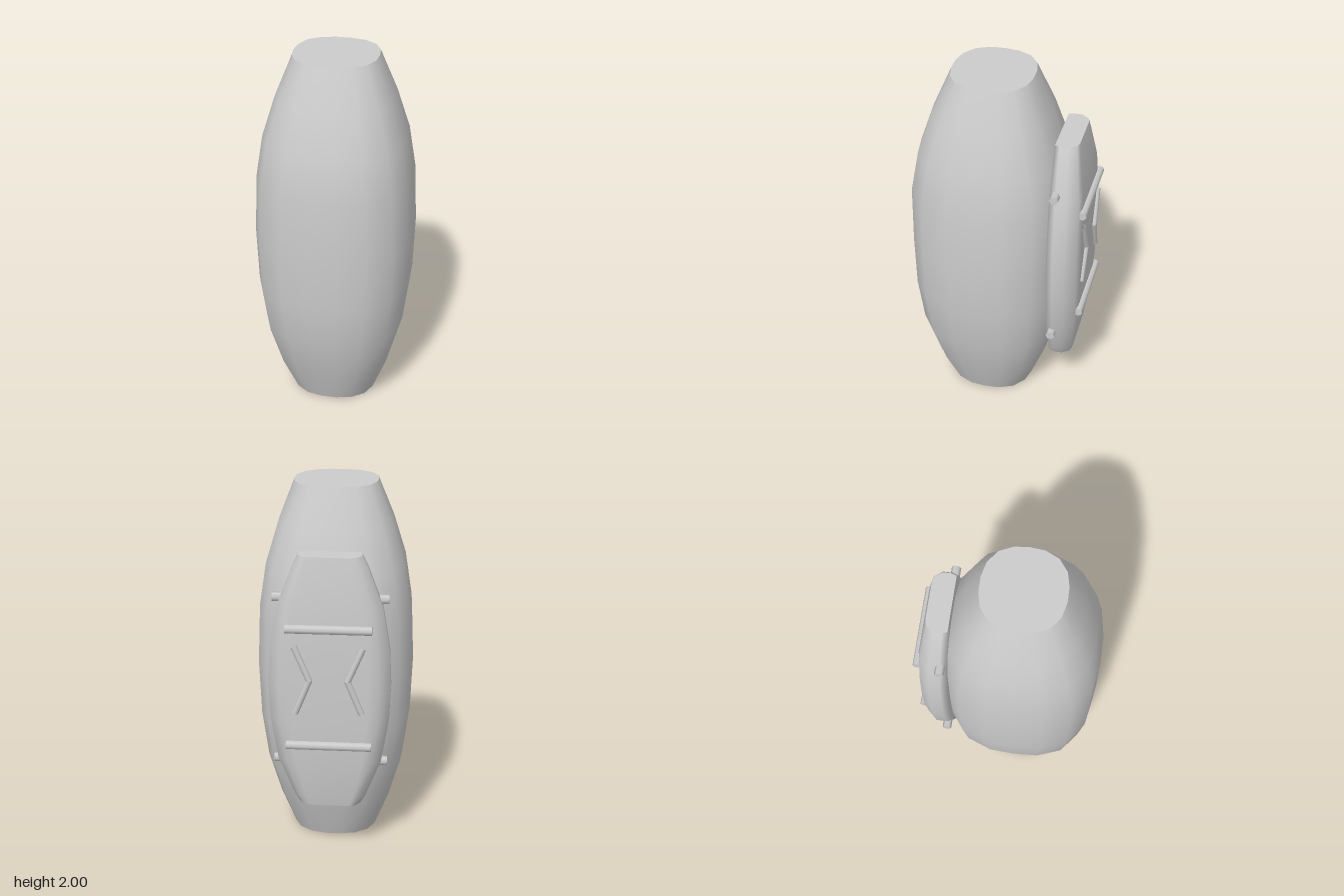
import * as THREE from 'three';

const material = new THREE.MeshStandardMaterial({ color: 0xcccccc, side: THREE.DoubleSide });

function addMesh(parent, name, geometry, position = [0, 0, 0]) {
  const mesh = new THREE.Mesh(geometry, material);
  mesh.name = name;
  mesh.position.set(...position);
  parent.add(mesh);
  return mesh;
}

// Skins a stack of closed rings (bottom to top) with smooth sides and flat end caps.
// Ring points run from +x towards +z.
function loft(rings) {
  const n = rings[0].length;
  const points = [], index = [];
  rings.forEach((ring) => ring.forEach((p) => points.push(...p)));
  for (let r = 0; r < rings.length - 1; r++) {
    for (let i = 0; i < n; i++) {
      const a = r * n + i, b = r * n + (i + 1) % n;
      index.push(a, a + n, b, b, a + n, b + n);
    }
  }
  for (const ring of [rings[0], rings[rings.length - 1]]) {
    const start = points.length / 3;
    ring.forEach((p) => points.push(...p));
    for (let i = 1; i < n - 1; i++) {
      if (ring === rings[0]) index.push(start, start + i, start + i + 1);
      else index.push(start, start + i + 1, start + i);
    }
  }
  const geometry = new THREE.BufferGeometry();
  geometry.setAttribute('position', new THREE.Float32BufferAttribute(points, 3));
  geometry.setIndex(index);
  geometry.computeVertexNormals();
  return geometry;
}

// Ring of a rounded square (superellipse)
function roundedRing(y, halfX, halfZ, centreZ, power, sides = 18) {
  const ring = [];
  for (let i = 0; i < sides; i++) {
    const a = (i / sides) * Math.PI * 2;
    const c = Math.cos(a), s = Math.sin(a);
    const k = Math.pow(Math.abs(c) ** power + Math.abs(s) ** power, -1 / power);
    ring.push([c * k * halfX, y, centreZ + s * k * halfZ]);
  }
  return ring;
}

// Ring of the back panel: flat towards the body, bevelled towards the back
function panelRing([y, halfX, backZ]) {
  const front = -0.295, depth = backZ - front;
  const half = [[1, 0.6], [1, 0.22], [0.94, 0], [0.4, 0]];
  const back = [[0.64, 1], [0.82, 0.93]];
  const place = ([x, t]) => [x * halfX, y, front + t * depth];
  const flip = ([x, t]) => [-x, t];
  return [...half, ...half.map(flip).reverse(), ...back.map(flip).reverse(), ...back].map(place);
}

export function createModel() {
  const model = new THREE.Group();
  model.name = 'barrelWithBackPanel';

  // Barrel body: height, half width, half depth, centre z
  const bodyLevels = [
    [0, 0.235, 0.235, 0.07], [0.2, 0.31, 0.31, 0.07], [0.44, 0.378, 0.383, 0.07],
    [0.7, 0.413, 0.414, 0.07], [1, 0.425, 0.42, 0.07], [1.33, 0.412, 0.42, 0.07],
    [1.56, 0.377, 0.38, 0.07], [1.78, 0.31, 0.307, 0.07], [2, 0.225, 0.217, 0.067],
  ];
  addMesh(model, 'body', loft(bodyLevels.map(([y, w, d, z], i) =>
    roundedRing(y, w, d, z, i === 0 || i === bodyLevels.length - 1 ? 2.5 : 2.85))));

  // Back panel: height, half width, back z
  const panelLevels = [
    [0.305, 0.165, -0.415], [0.36, 0.195, -0.425], [0.57, 0.275, -0.455], [0.8, 0.313, -0.463],
    [1, 0.322, -0.464], [1.2, 0.313, -0.463], [1.43, 0.275, -0.455], [1.64, 0.195, -0.425],
    [1.7, 0.165, -0.415],
  ];
  const panel = new THREE.Group();
  panel.name = 'panel';
  model.add(panel);
  addMesh(panel, 'panelShell', loft(panelLevels.map(panelRing)));

  // Cross bars
  for (const y of [0.68, 1.33]) {
    addMesh(panel, 'crossBar', new THREE.CylinderGeometry(0.024, 0.024, 0.45, 8), [0, y, -0.463])
      .rotation.z = Math.PI / 2;
  }

  for (const side of [-1, 1]) {
    // Bent ridge, its corner pointing at the middle
    const corners = [[0.18, 1.235, -0.463], [0.1, 1.05, -0.468], [0.175, 0.865, -0.463]]
      .map(([x, y, z]) => new THREE.Vector3(side * x, y, z));
    for (let i = 0; i < 2; i++) {
      const rod = new THREE.LineCurve3(corners[i], corners[i + 1]);
      addMesh(panel, 'bentRidge', new THREE.TubeGeometry(rod, 1, 0.017, 8, false));
    }
    addMesh(panel, 'ridgeCorner', new THREE.SphereGeometry(0.017, 8, 6), corners[1].toArray());

    // Side studs
    for (const y of [0.545, 1.46]) {
      addMesh(panel, 'sideStud', new THREE.CylinderGeometry(0.025, 0.025, 0.06, 6),
        [side * 0.275, y, -0.328]).rotation.z = Math.PI / 2;
    }
  }
  return model;
}
